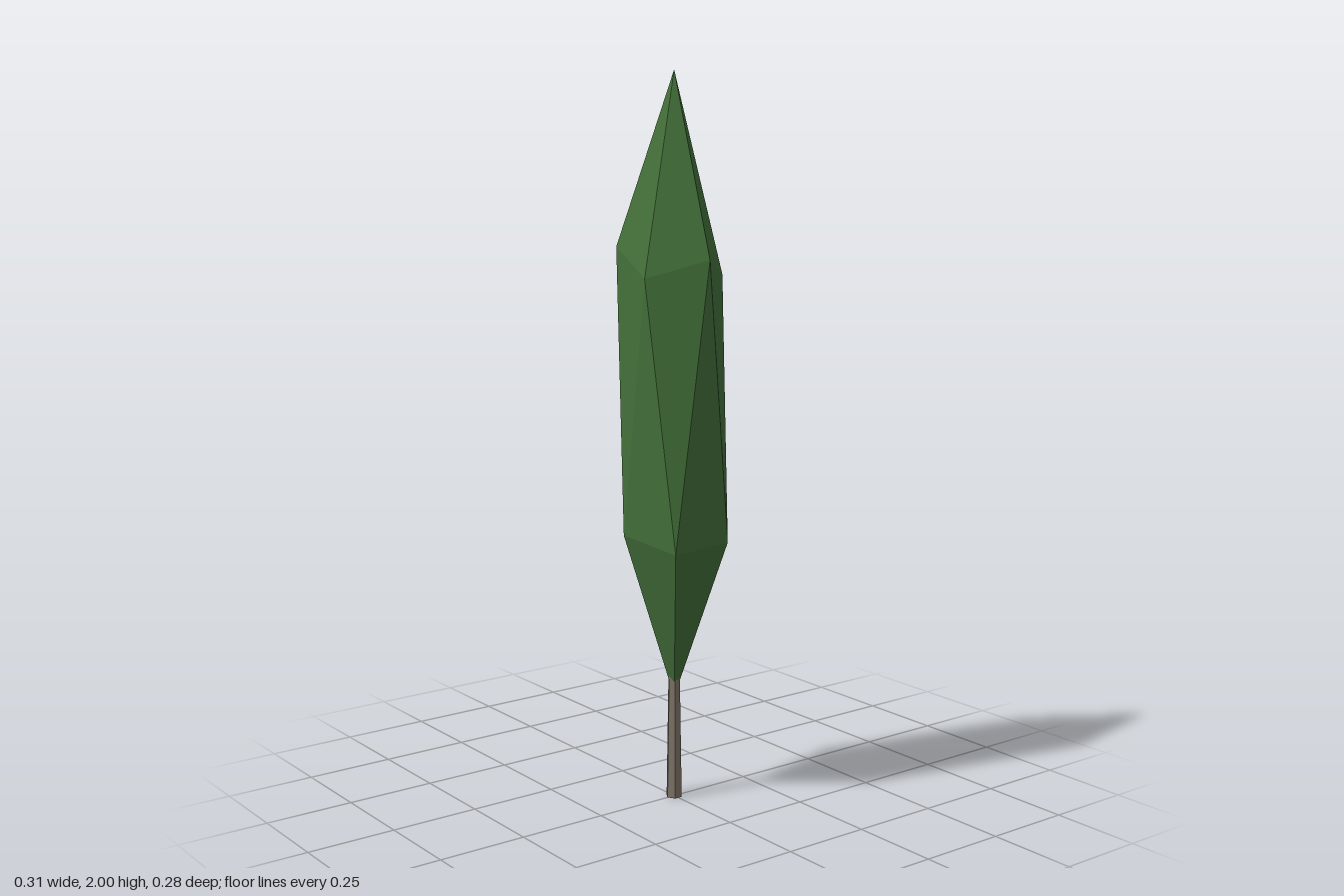
import * as THREE from 'three';

// Five-sided rings of the crown, [x, y, z], running from +x towards +z
const UPPER = [[0.155, 1.51, 0], [0.044, 1.46, 0.13], [-0.13, 1.535, 0.097], [-0.118, 1.49, -0.087], [0.044, 1.46, -0.13]];
const LOWER = [[0.13, 0.73, 0.093], [-0.044, 0.76, 0.138], [-0.157, 0.73, 0], [-0.044, 0.75, -0.142], [0.125, 0.74, -0.088]];
const TIP = [0, 2, 0];
const BASE = [0, 0.29, 0];

// Stretched, slightly uneven icosahedron with flat facets
function crownGeometry() {
  const points = [];
  for (let k = 0; k < 5; k++) {
    const n = (k + 1) % 5;
    points.push(
      TIP, UPPER[n], UPPER[k],
      UPPER[k], UPPER[n], LOWER[k],
      LOWER[k], UPPER[n], LOWER[n],
      BASE, LOWER[k], LOWER[n],
    );
  }
  const geometry = new THREE.BufferGeometry();
  geometry.setAttribute('position', new THREE.Float32BufferAttribute(points.flat(), 3));
  geometry.computeVertexNormals();
  return geometry;
}

export function createModel() {
  const foliage = new THREE.MeshStandardMaterial({ color: 0x43703a, flatShading: true });
  foliage.name = 'foliage green';
  const bark = new THREE.MeshStandardMaterial({ color: 0x80766a, flatShading: true });
  bark.name = 'bark grey brown';

  const tree = new THREE.Group();
  tree.name = 'tree';

  const crown = new THREE.Mesh(crownGeometry(), foliage);
  crown.name = 'crown';

  // Tapered trunk reaching a little way into the crown
  const trunk = new THREE.Mesh(new THREE.CylinderGeometry(0.016, 0.023, 0.42, 6), bark);
  trunk.name = 'trunk';
  trunk.position.y = 0.21;

  tree.add(crown, trunk);
  return tree;
}
